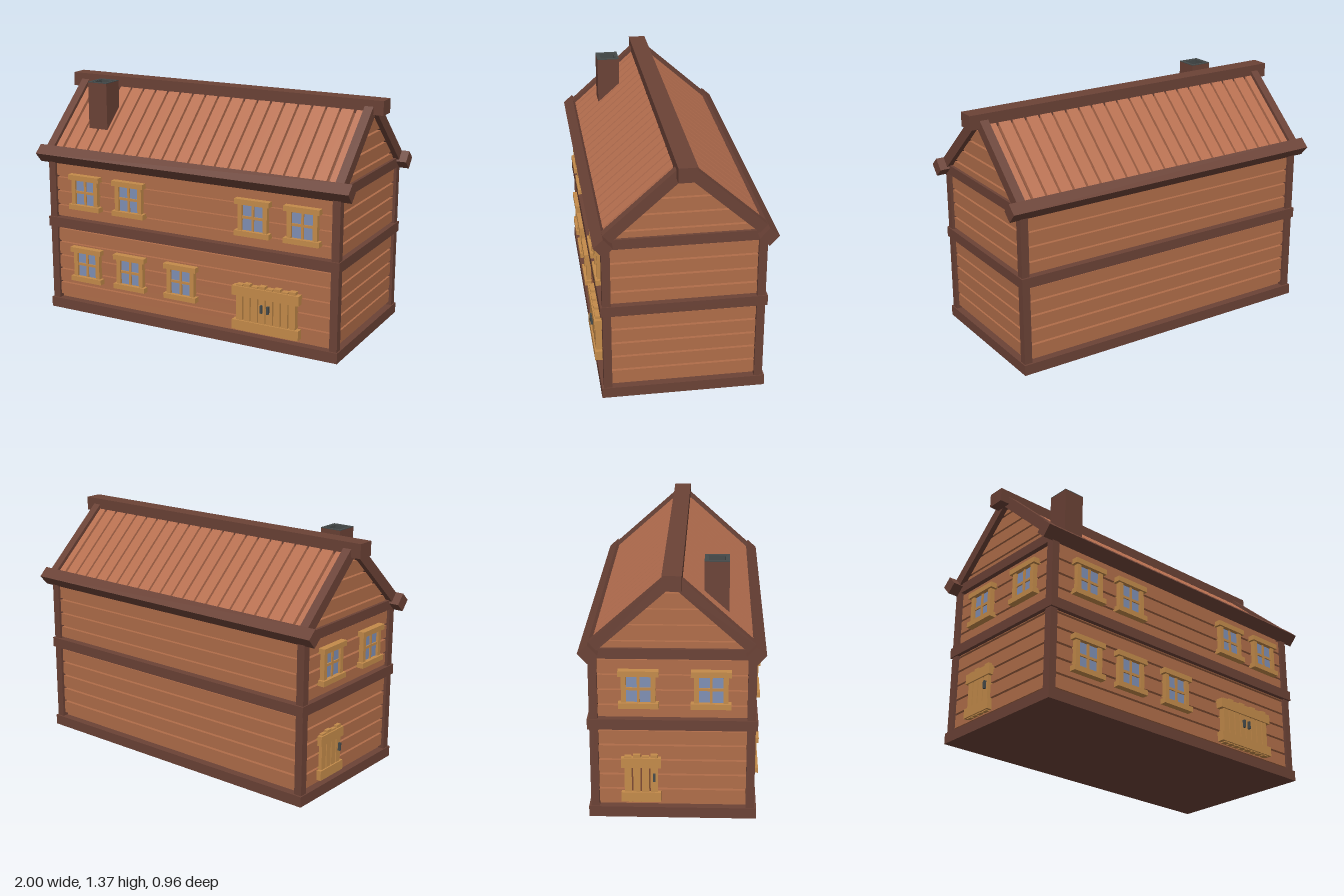
import * as THREE from 'three';

const mat = (color) => new THREE.MeshStandardMaterial({ color });
const WALL = mat(0xb06d49), ROOF = mat(0xb87050), BEAM = mat(0x6b4236), GROOVE = mat(0x7d4a33);
const TRIM = mat(0xc48b4a), GLASS = mat(0x7f8fb4), IRON = mat(0x454a4a);

const SLOPE = 0.731;      // roof angle
const APEX = 1.3;         // underside of the roof at the ridge
const WX = 0.912, WZ = 0.418; // outer faces of the planking

function box(parent, name, material, w, h, d, x, y, z) {
  const m = new THREE.Mesh(new THREE.BoxGeometry(w, h, d), material);
  m.name = name;
  m.position.set(x, y, z);
  parent.add(m);
  return m;
}

function group(parent, name) {
  const g = new THREE.Group();
  g.name = name;
  parent.add(g);
  return g;
}

// Outline in the z-y plane, extruded along x and centred on the given x
function slab(parent, name, material, points, depth, x) {
  const shape = new THREE.Shape(points.map(([a, b]) => new THREE.Vector2(a, b)));
  const geo = new THREE.ExtrudeGeometry(shape, { depth, bevelEnabled: false });
  geo.translate(0, 0, -depth / 2).rotateY(Math.PI / 2);
  const m = new THREE.Mesh(geo, material);
  m.name = name;
  m.position.x = x;
  parent.add(m);
}

// Window built outward along +z from the wall, centred at its origin
function windowUnit(parent, x, y, z, turn = 0) {
  const g = group(parent, 'window');
  g.position.set(x, y, z);
  g.rotation.y = turn;
  box(g, 'glass', GLASS, 0.14, 0.17, 0.016, 0, 0, 0.005);
  for (const s of [-1, 1]) {
    box(g, 'windowStile', TRIM, 0.026, 0.16, 0.034, s * 0.076, 0, 0.01);
    box(g, 'windowBoard', TRIM, 0.21, 0.03, 0.047, 0, s * 0.089, 0.0145);
  }
  box(g, 'mullion', TRIM, 0.014, 0.15, 0.022, 0, 0, 0.009);
  box(g, 'transom', TRIM, 0.13, 0.014, 0.022, 0, 0, 0.009);
}

// Plank door with two cross rails
function door(parent, x, z, turn, count, railWidth, handles, out) {
  const g = group(parent, 'door');
  g.position.set(x, 0, z);
  g.rotation.y = turn;
  const pitch = 0.046;
  for (let i = 0; i < count; i++) {
    const lift = (i % 2) * 0.008;
    box(g, 'doorPlank', TRIM, pitch - 0.008, 0.268 + lift, out - 0.008 + 0.01,
      (i - (count - 1) / 2) * pitch, 0.222 + lift / 2, (out - 0.018) / 2);
  }
  box(g, 'doorBacking', GROOVE, count * pitch - 0.03, 0.25, 0.012, 0, 0.222, 0.002);
  for (const y of [0.121, 0.32])
    box(g, 'doorRail', TRIM, railWidth, 0.055, out + 0.01, 0, y, (out - 0.01) / 2);
  for (const hx of handles)
    box(g, 'doorHandle', IRON, 0.012, 0.045, 0.014, hx, 0.237, out);
}

export function createModel() {
  const house = new THREE.Group();
  house.name = 'house';

  // Solid core behind the planks
  const walls = group(house, 'walls');
  const cz = WZ - 0.02, cx = WX - 0.02;
  slab(walls, 'wallCore', WALL,
    [[-cz, 0.03], [cz, 0.03], [cz, APEX - 0.9 * cz], [0, APEX], [-cz, APEX - 0.9 * cz]], cx * 2, 0);

  // Horizontal planks, with a gable that narrows to the ridge
  const seams = [0.075, 0.16, 0.245, 0.33, 0.415, 0.5, 0.57, 0.645, 0.73, 0.815, 0.9, 1.0, 1.087, 1.172, 1.258, 1.3];
  const halfAt = (y) => Math.min(WZ - 0.003, (APEX - y) / 0.896);
  for (let i = 0; i < seams.length - 1; i++) {
    const y0 = seams[i] + 0.006, y1 = seams[i + 1] - 0.006;
    const mid = (y0 + y1) / 2;
    if (y1 < 0.9)
      for (const s of [-1, 1])
        box(walls, 'sidePlank', WALL, WX * 2 - 0.01, y1 - y0, 0.026, 0, mid, s * (WZ - 0.013));
    const a = halfAt(y0), b = Math.max(halfAt(y1), 0.001);
    for (const s of [-1, 1])
      slab(walls, 'endPlank', WALL, [[-a, y0], [a, y0], [b, y1], [-b, y1]], 0.026, s * (WX - 0.013));
  }

  // Timber frame
  const frame = group(house, 'timberFrame');
  box(frame, 'baseBeam', BEAM, 1.87, 0.06, 0.89, 0, 0.03, 0);
  box(frame, 'middleBeam', BEAM, 1.87, 0.058, 0.89, 0, 0.539, 0);
  for (const sx of [-1, 1]) {
    for (const sz of [-1, 1])
      box(frame, 'cornerPost', BEAM, 0.045, 0.9, 0.045, sx * 0.906, 0.48, sz * 0.411);
    box(frame, 'gableBeam', BEAM, 0.045, 0.056, 0.84, sx * 0.906, 0.932, 0);
  }

  // Two roof slopes: local z runs down the slope, local y points out of it
  const roof = group(house, 'roof');
  for (const turn of [0, Math.PI]) {
    const side = group(roof, 'roofSide');
    side.rotation.y = turn;
    const slope = group(side, 'roofSlope');
    slope.position.y = APEX;
    slope.rotation.x = SLOPE;
    box(slope, 'roofUnderlay', GROOVE, 1.8, 0.018, 0.56, 0, 0.011, 0.28);
    const pitch = 0.0838;
    for (let i = 0; i < 22; i++) {
      const edge = i === 0 || i === 21;
      const x = (i - 10.5) * pitch;
      box(slope, 'roofPlank', ROOF, pitch - (edge ? 0.02 : 0.013), 0.026, 0.55, x, 0.027, 0.277);
    }
    for (const s of [-1, 1])
      box(slope, 'rakeBoard', BEAM, 0.05, 0.06, 0.57, s * 0.917, 0.029, 0.285);
    box(slope, 'eaveBeam', BEAM, 1.975, 0.075, 0.07, 0, 0.023, 0.554);
  }
  box(roof, 'ridgeBeam', BEAM, 2, 0.08, 0.1, 0, 1.33, 0);

  // Hollow chimney with a dark lining
  const chimney = group(house, 'chimney');
  chimney.position.set(-0.67, 0, 0.224);
  for (const s of [-1, 1]) {
    box(chimney, 'chimneyWall', BEAM, 0.016, 0.285, 0.13, s * 0.055, 1.2225, 0);
    box(chimney, 'chimneyWall', BEAM, 0.1, 0.285, 0.016, 0, 1.2225, s * 0.057);
    box(chimney, 'chimneyLining', IRON, 0.008, 0.286, 0.1, s * 0.045, 1.2235, 0);
    box(chimney, 'chimneyLining', IRON, 0.09, 0.286, 0.008, 0, 1.2235, s * 0.047);
    box(chimney, 'chimneyRim', IRON, 0.016, 0.004, 0.13, s * 0.055, 1.367, 0);
    box(chimney, 'chimneyRim', IRON, 0.1, 0.004, 0.016, 0, 1.367, s * 0.057);
  }
  box(chimney, 'chimneyFloor', IRON, 0.1, 0.1, 0.1, 0, 1.2, 0);

  // Windows and doors on the front and the right-hand end
  const openings = group(house, 'openings');
  for (const x of [-0.675, -0.375, 0.42, 0.715]) windowUnit(openings, x, 0.74, WZ);
  for (const x of [-0.675, -0.375, -0.035]) windowUnit(openings, x, 0.298, WZ);
  for (const z of [-0.175, 0.2]) windowUnit(openings, -WX, 0.74, z, -Math.PI / 2);
  door(openings, 0.508, WZ, 0, 8, 0.405, [-0.02, 0.02], 0.042);
  door(openings, -WX, -0.165, -Math.PI / 2, 4, 0.21, [0.07], 0.028);

  return house;
}
